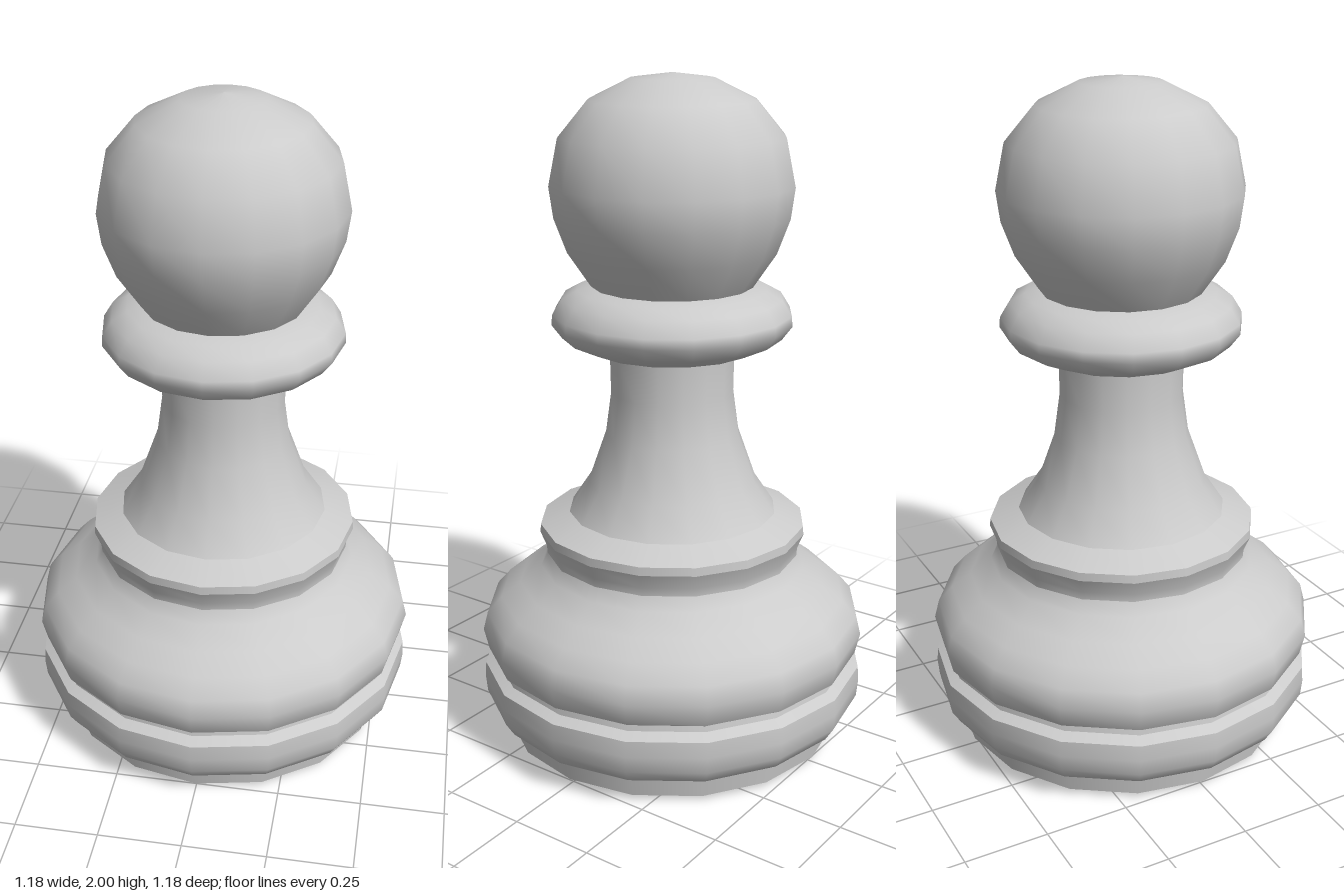
import * as THREE from 'three';

const SIDES = 16;
const material = new THREE.MeshStandardMaterial({ color: 0xcccccc });

// Each part is a turned profile of [radius, height], listed from bottom to top.
// Separate parts keep a sharp edge where they meet; each is smooth within.
const parts = {
  underside: [[0, 0], [0.515, 0.015]],
  foot: [[0.515, 0.015], [0.524, 0.075]],
  baseRing: [[0.524, 0.075], [0.558, 0.09], [0.583, 0.13], [0.588, 0.18], [0.585, 0.228]],
  baseRingTop: [[0.585, 0.228], [0.555, 0.245]],
  groove: [[0.555, 0.245], [0.552, 0.262]],
  body: [[0.552, 0.262], [0.573, 0.275], [0.588, 0.34], [0.574, 0.395], [0.53, 0.445],
    [0.47, 0.49], [0.405, 0.54], [0.385, 0.58]],
  shoulderNeck: [[0.385, 0.58], [0.387, 0.605], [0.405, 0.65]],
  shoulderRim: [[0.405, 0.65], [0.403, 0.675]],
  shoulderTop: [[0.403, 0.675], [0.315, 0.71]],
  stem: [[0.315, 0.71], [0.255, 0.8], [0.202, 0.95], [0.184, 1.08], [0.186, 1.2]],
  collar: [[0.186, 1.2], [0.25, 1.215], [0.325, 1.25], [0.355, 1.29], [0.353, 1.32],
    [0.325, 1.365], [0.28, 1.39], [0.238, 1.4]],
  head: [[0.238, 1.4], [0.305, 1.5], [0.342, 1.6], [0.354, 1.69], [0.326, 1.825],
    [0.242, 1.925], [0.12, 1.985], [0, 2]],
};

export function createModel() {
  const pawn = new THREE.Group();
  pawn.name = 'pawn';
  for (const [name, profile] of Object.entries(parts)) {
    const points = profile.map(([r, y]) => new THREE.Vector2(r, y));
    const mesh = new THREE.Mesh(new THREE.LatheGeometry(points, SIDES), material);
    mesh.name = name;
    pawn.add(mesh);
  }
  return pawn;
}
